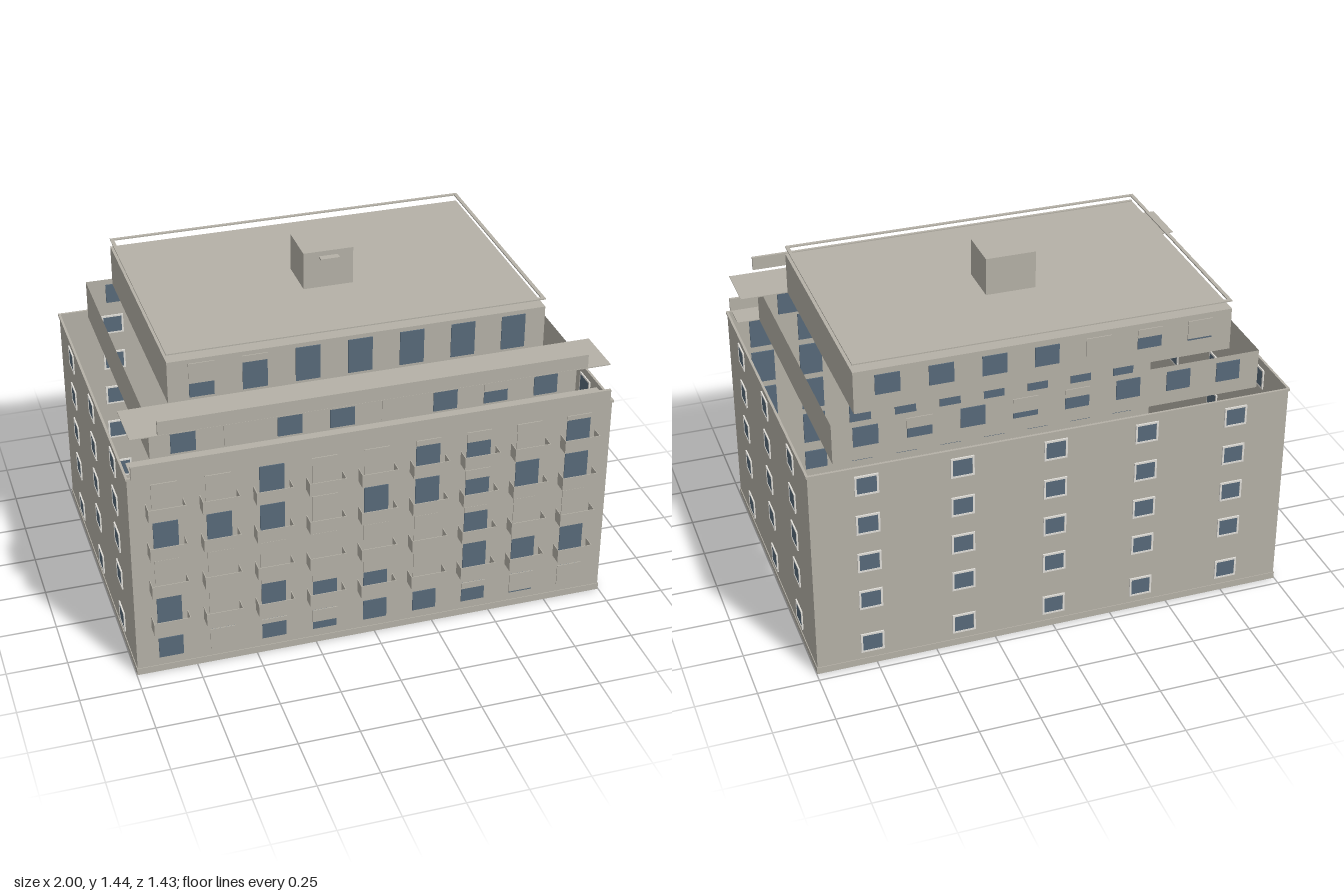
import * as THREE from 'three';
import { mergeGeometries } from 'three/addons/utils/BufferGeometryUtils.js';

export function createModel() {
  const model = new THREE.Group();
  const mat = (name, color) => {
    const m = new THREE.MeshStandardMaterial({ color, side: THREE.DoubleSide });
    m.name = name;
    return m;
  };
  const concrete = mat('concrete', 0xb5b1a7);
  const glass = mat('glass', 0x586a7a);
  const frame = mat('windowFrame', 0xe0ded8);

  const add = (name, geo, material, parent = model) => {
    const m = new THREE.Mesh(geo, material);
    m.name = name;
    parent.add(m);
    return m;
  };
  // Box given by its limits on each axis
  const span = (x0, x1, y0, y1, z0, z1) =>
    new THREE.BoxGeometry(x1 - x0, y1 - y0, z1 - z0)
      .translate((x0 + x1) / 2, (y0 + y1) / 2, (z0 + z1) / 2);
  const group = (name) => {
    const g = new THREE.Group();
    g.name = name;
    model.add(g);
    return g;
  };

  // Four thin walls, open above and below
  const walls = (name, x, y0, y1, z0, z1) => {
    const h = y1 - y0, y = (y0 + y1) / 2, zc = (z0 + z1) / 2;
    add(name, mergeGeometries([
      new THREE.PlaneGeometry(2 * x, h).translate(0, y, z1),
      new THREE.PlaneGeometry(2 * x, h).rotateY(Math.PI).translate(0, y, z0),
      new THREE.PlaneGeometry(z1 - z0, h).rotateY(Math.PI / 2).translate(x, y, zc),
      new THREE.PlaneGeometry(z1 - z0, h).rotateY(-Math.PI / 2).translate(-x, y, zc),
    ]), concrete);
  };
  // Rectangular trim with an open centre
  const ring = (name, x, z0, z1, y0, y1, t) => add(name, mergeGeometries([
    span(-x, x, y0, y1, z1 - t, z1),
    span(-x, x, y0, y1, z0, z0 + t),
    span(x - t, x, y0, y1, z0 + t, z1 - t),
    span(-x, -x + t, y0, y1, z0 + t, z1 - t),
  ]), concrete);

  walls('mainWalls', 0.995, 0, 0.93, -0.708, 0.658);
  walls('middleTierWalls', 0.88, 0.93, 1.1, -0.65, 0.548);
  walls('topTierWalls', 0.775, 1.1, 1.28, -0.597, 0.438);
  ring('plinth', 0.998, -0.711, 0.661, 0, 0.03, 0.004);
  ring('cornice', 1, -0.713, 0.663, 0.924, 0.934, 0.01);
  ring('roofRail', 0.775, -0.597, 0.438, 1.312, 1.317, 0.015);

  // Roof, terraces and front parapets
  add('roof', span(-0.775, 0.775, 1.276, 1.28, -0.597, 0.438), concrete);
  add('lowerTerrace', span(-0.975, 0.975, 0.93, 0.934, 0.548, 0.657), concrete);
  add('upperTerrace', span(-0.975, 0.975, 1.098, 1.102, 0.438, 0.657), concrete);
  add('lowerParapet', span(-0.98, 0.98, 0.932, 0.99, 0.66, 0.672), concrete);
  add('upperParapet', span(-0.87, 0.87, 1.112, 1.17, 0.66, 0.672), concrete);

  // Stair house with a small canopy
  add('stairHouse', span(-0.105, 0.105, 1.28, 1.44, -0.175, 0.013), concrete);
  add('canopy', span(-0.04, 0.04, 1.412, 1.419, 0.013, 0.043), concrete);

  // Window: pane through the wall, optional frame, shutter lowered by (1 - open)
  const windowAt = (parent, x, y0, y1, z, angle, open, framed) => {
    const g = new THREE.Group();
    g.name = 'window';
    const h = y1 - y0, w = framed ? 0.08 : 0.1;
    add('pane', span(-w / 2, w / 2, 0, h, -0.006, 0.004), glass, g);
    if (framed) {
      const b = 0.008, o = w / 2 + b;
      add('frame', mergeGeometries([
        span(-o, o, -b, 0, -0.006, 0.006),
        span(-o, o, h, h + b, -0.006, 0.006),
        span(-o, -w / 2, 0, h, -0.006, 0.006),
        span(w / 2, o, 0, h, -0.006, 0.006),
      ]), frame, g);
    }
    if (open < 1) {
      add('shutter', span(-w / 2 - 0.002, w / 2 + 0.002, h * open, h + 0.002, 0.003, 0.007), concrete, g);
    }
    g.position.set(x, y0, z);
    g.rotation.y = angle;
    parent.add(g);
  };
  // Row of evenly spaced windows on a front or back wall, from -x to +x
  const row = (parent, opens, pitch, y0, y1, z, angle) => opens.forEach((open, i) =>
    windowAt(parent, (i - (opens.length - 1) / 2) * pitch, y0, y1, z, angle, open, false));

  // Front windows and balcony doors, one list of openings per floor
  const front = group('frontWindows');
  const pitch = 0.2135;
  row(front, [1, 0, 0.8, 0.4, 1, 1, 0.7, 0.08, 0], pitch, 0.068, 0.16, 0.658, 0);
  [
    [1, 0, 0.88, 0.65, 0.65, 0, 1, 0.88, 1],
    [0, 0, 0, 0, 0, 0, 0.84, 0, 0],
    [1, 1, 1, 0, 1, 1, 0.72, 1, 1],
    [0, 0, 1, 0, 0, 0.85, 0.7, 0, 0.88],
  ].forEach((opens, i) => {
    const y = 0.21 + i * 0.1775;
    row(front, opens, pitch, y, y + 0.148, 0.658, 0);
  });
  row(front, [0.8, 0, 0.8, 0.6, 0, 1, 0.38, 1], pitch, 0.945, 1.087, 0.548, 0);
  row(front, [0.42, 0.82, 1, 1, 1, 1, 1], pitch, 1.115, 1.262, 0.438, 0);

  // Side and rear windows of the main block
  const sides = group('sideWindows');
  const rear = group('rearWindows');
  for (const y of [0.07, 0.281, 0.459, 0.636, 0.815]) {
    for (const z of [0.397, -0.023, -0.443]) {
      for (const s of [-1, 1]) windowAt(sides, s * 0.995, y, y + 0.072, z, s * Math.PI / 2, 1, true);
    }
    for (let i = -2; i <= 2; i++) windowAt(rear, i * 0.383, y, y + 0.072, -0.708, Math.PI, 1, true);
  }
  // Sit each side window at its own wall plane
  sides.children.forEach((w) => {
    const { x, z } = w.position;
    w.position.set(Math.sign(x) * 0.995, w.position.y, z);
  });
  row(rear, [1, 1, 1, 0.6, 0.3, 1, 0.5, 1], pitch, 0.99, 1.075, -0.65, Math.PI);
  row(rear, [0.1, 0.6, 0, 1, 1, 1, 1], pitch, 1.17, 1.255, -0.597, Math.PI);

  // Balconies: front and side panels without a floor
  const balconies = group('balconies');
  const balcony = mergeGeometries([
    span(-0.075, 0.075, 0, 0.058, 0.709, 0.712),
    span(-0.075, -0.072, 0, 0.058, 0.658, 0.709),
    span(0.072, 0.075, 0, 0.058, 0.658, 0.709),
  ]);
  for (let floor = 0; floor < 4; floor++) {
    for (let i = -4; i <= 4; i++) {
      add('balcony', balcony, concrete, balconies)
        .position.set(i * pitch, 0.217 + floor * 0.1775, 0);
    }
  }
  return model;
}
